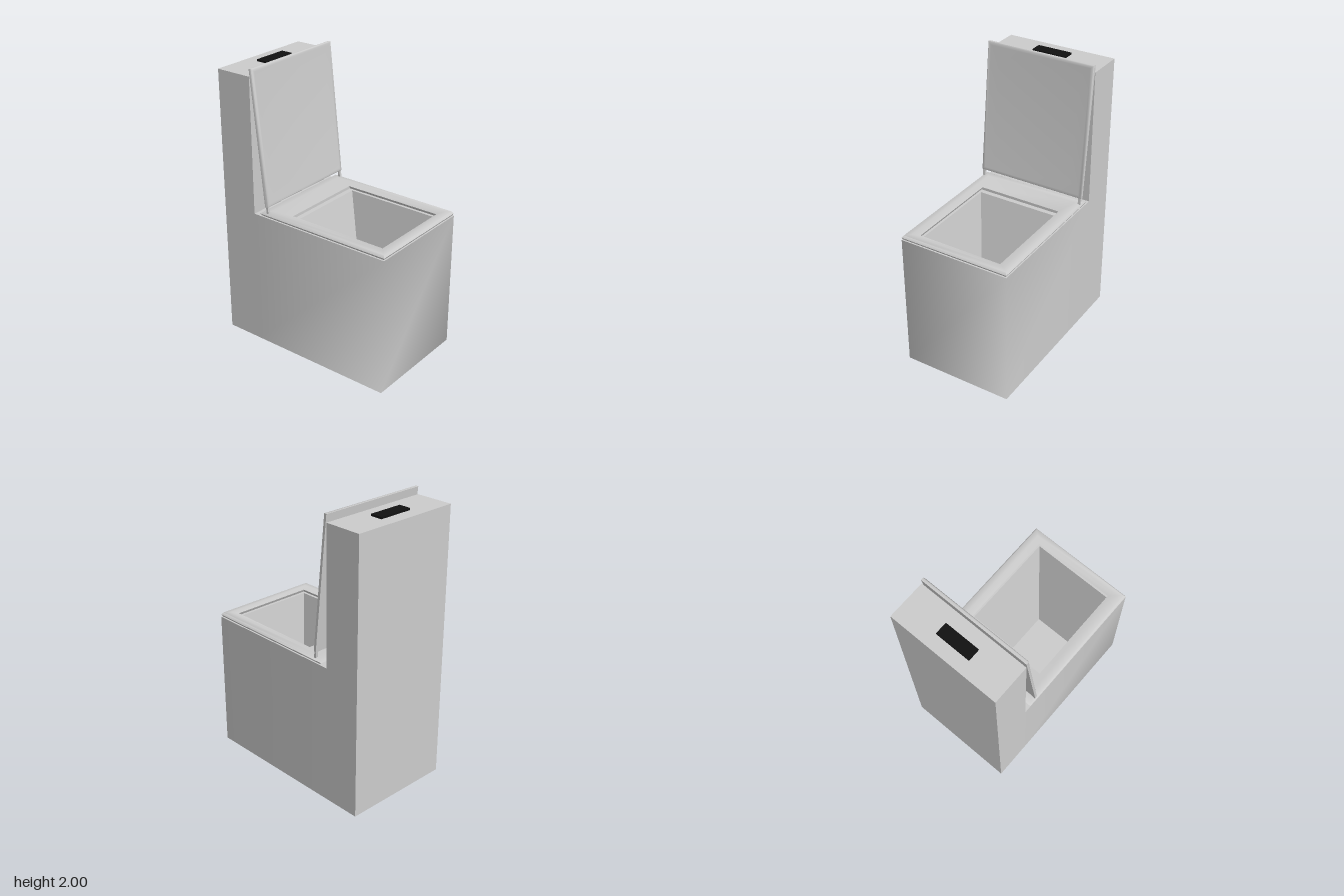
import * as THREE from 'three';
import { toCreasedNormals } from 'three/addons/utils/BufferGeometryUtils.js';

const grey = new THREE.MeshStandardMaterial({ color: 0xcccccc, side: THREE.DoubleSide });
const black = new THREE.MeshStandardMaterial({ color: 0x111111 });

// Skins a stack of rectangles, each given as [half width, back z, front z, y]
function loft(rings, { capStart = false, capEnd = false, loop = false } = {}) {
  const pos = [], index = [];
  for (const [h, z0, z1, y] of rings) pos.push(-h, y, z1, h, y, z1, h, y, z0, -h, y, z0);
  const n = rings.length;
  for (let r = 0; r < (loop ? n : n - 1); r++) {
    const a = r * 4, b = ((r + 1) % n) * 4;
    for (let i = 0; i < 4; i++) {
      const j = (i + 1) % 4;
      index.push(a + i, a + j, b + j, a + i, b + j, b + i);
    }
  }
  const e = (n - 1) * 4;
  if (capStart) index.push(0, 2, 1, 0, 3, 2);
  if (capEnd) index.push(e, e + 1, e + 2, e, e + 2, e + 3);
  const g = new THREE.BufferGeometry();
  g.setAttribute('position', new THREE.Float32BufferAttribute(pos, 3));
  g.setIndex(index);
  return toCreasedNormals(g, Math.PI / 3);
}

function add(parent, name, geometry, material = grey, x = 0, y = 0, z = 0) {
  const mesh = new THREE.Mesh(geometry, material);
  mesh.name = name;
  mesh.position.set(x, y, z);
  parent.add(mesh);
  return mesh;
}

export function createModel() {
  const model = new THREE.Group();
  model.name = 'toilet';

  // Cistern, its cover and the flush button
  add(model, 'cistern', new THREE.BoxGeometry(0.8, 1.92, 0.27), grey, 0, 0.96, -0.535);
  add(model, 'cisternCover', new THREE.BoxGeometry(0.8, 0.024, 0.27), grey, 0, 1.932, -0.535);
  add(model, 'flushButton', new THREE.BoxGeometry(0.25, 0.016, 0.085), black, 0, 1.95, -0.5375);

  // Pedestal skirt: a strip folded round three sides, open below, softly shaded
  const skirt = new THREE.PlaneGeometry(1, 0.985, 3, 1);
  const corners = [[-0.4, -0.4], [-0.4, 0.67], [0.4, 0.67], [0.4, -0.4]];
  const p = skirt.attributes.position;
  for (let i = 0; i < p.count; i++) {
    const [x, z] = corners[i % 4];
    p.setXYZ(i, x, i < 4 ? 0.985 : 0, z);
  }
  skirt.computeVertexNormals();
  add(model, 'pedestal', skirt);

  // Rim deck and tapering basin
  add(model, 'basin', loft([
    [0.4, -0.4, 0.67, 0.985],
    [0.3, -0.11, 0.585, 0.985],
    [0.16, 0.11, 0.44, 0.07],
  ], { capEnd: true }));

  // Outlet duct from the basin to the cistern
  const duct = new THREE.Shape([[-0.105, 0.07], [0.4, 0.07], [0.4, 0.35], [-0.035, 0.35]]
    .map(([x, y]) => new THREE.Vector2(x, y)));
  const ductGeometry = new THREE.ExtrudeGeometry(duct, { depth: 0.32, bevelEnabled: false });
  ductGeometry.translate(0, 0, -0.16).rotateY(Math.PI / 2);
  add(model, 'outletDuct', ductGeometry);

  // Seat ring with bevelled edges
  add(model, 'seat', loft([
    [0.315, -0.14, 0.6, 0.988],
    [0.392, -0.33, 0.662, 0.988],
    [0.4, -0.35, 0.67, 1.002],
    [0.388, -0.325, 0.658, 1.018],
    [0.35, -0.28, 0.625, 1.02],
    [0.305, -0.14, 0.59, 1.008],
  ], { loop: true }));

  // Raised lid, built flat and tilted back against the cistern
  const lid = new THREE.Group();
  lid.name = 'lid';
  lid.position.set(0, 1.02, -0.285);
  lid.rotation.x = -(Math.PI / 2 + 0.105);
  add(lid, 'lidPanel', loft([
    [0.31, 0.14, 0.89, -0.006],
    [0.375, 0.065, 0.96, -0.011],
    [0.392, 0.048, 0.975, -0.012],
    [0.4, 0.042, 0.982, -0.006],
    [0.4, 0.042, 0.982, 0.012],
  ], { capStart: true, capEnd: true }));
  for (const side of [-1, 1]) {
    add(lid, 'lidHinge', new THREE.BoxGeometry(0.018, 0.016, 0.06), grey, side * 0.385, 0.002, 0.025);
  }
  model.add(lid);

  return model;
}
